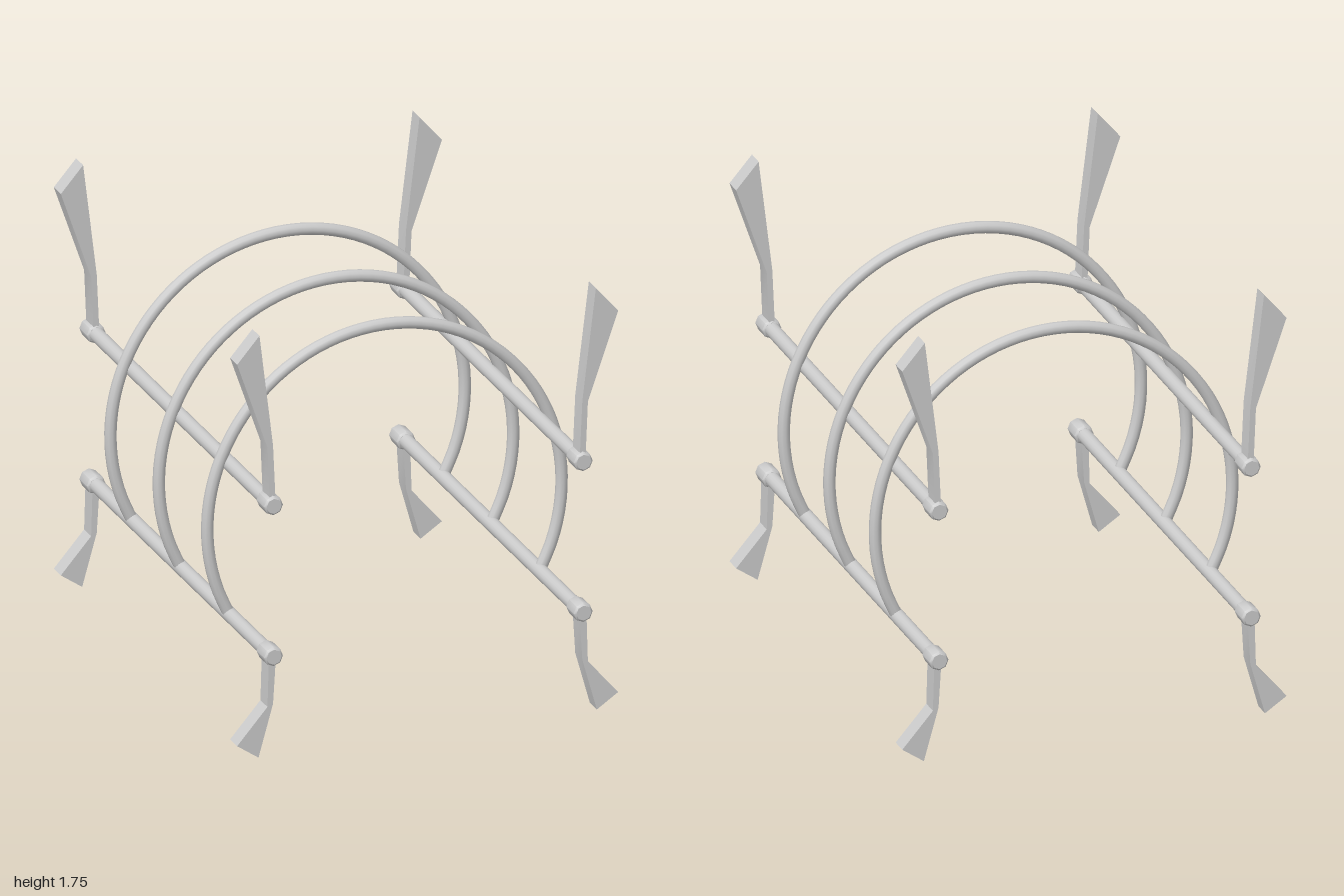
import * as THREE from 'three';
import { toCreasedNormals } from 'three/addons/utils/BufferGeometryUtils.js';

const RAIL_X = 0.638;
const material = new THREE.MeshStandardMaterial({ color: 0xcccccc });
const twoSided = new THREE.MeshStandardMaterial({ color: 0xcccccc, side: THREE.DoubleSide });

function add(parent, name, geometry, mat = material) {
  const mesh = new THREE.Mesh(geometry, mat);
  mesh.name = name;
  parent.add(mesh);
  return mesh;
}

// Flat bent arm: side outline extruded across z, smooth along its broad faces
function armGeometry(outline) {
  const shape = new THREE.Shape(outline.map(([x, y]) => new THREE.Vector2(x, y)));
  const geometry = new THREE.ExtrudeGeometry(shape, { depth: 0.076, bevelEnabled: false });
  geometry.translate(0, 0, -0.038);
  return toCreasedNormals(geometry, 0.6);
}

// Eight-sided end knob with chamfered rims, lying along z
function knobGeometry() {
  const profile = [[0, -0.048], [0.031, -0.048], [0.039, -0.04], [0.039, 0.04], [0.031, 0.048], [0, 0.048]]
    .map(([r, y]) => new THREE.Vector2(r, y));
  return toCreasedNormals(new THREE.LatheGeometry(profile, 8).rotateX(Math.PI / 2), 0.8);
}

// Elliptical hoop, open at the bottom where it meets the lower rails
function hoopGeometry() {
  const start = -0.485, end = Math.PI + 0.485;
  const points = [];
  for (let i = 0; i <= 32; i++) {
    const a = start + (end - start) * i / 32;
    points.push(new THREE.Vector3(0.73 * Math.cos(a), 0.775 + 0.748 * Math.sin(a), 0));
  }
  return new THREE.TubeGeometry(new THREE.CatmullRomCurve3(points), 64, 0.024, 10);
}

export function createModel() {
  const model = new THREE.Group();
  model.name = 'hoopFrame';

  const rail = new THREE.CylinderGeometry(0.029, 0.029, 1.86, 16).rotateX(Math.PI / 2);
  const knob = knobGeometry();
  const levels = [
    {
      name: 'upper', y: 1.038,
      arm: armGeometry([[0.626, 1.04], [0.65, 1.04], [0.66, 1.28], [0.785, 1.64], [0.693, 1.747], [0.637, 1.285]]),
    },
    {
      name: 'lower', y: 0.413,
      arm: armGeometry([[0.625, 0.41], [0.637, 0.215], [0.697, 0], [0.785, 0.06], [0.66, 0.205], [0.654, 0.41]]),
    },
  ];

  // Rails, each with a knob and a flared arm at both ends
  for (const { name, y, arm } of levels) {
    for (const [side, sx] of [['Left', 1], ['Right', -1]]) {
      add(model, `${name}${side}Rail`, rail).position.set(sx * RAIL_X, y, 0);
      for (const [end, sz] of [['Front', 1], ['Back', -1]]) {
        add(model, `${name}${side}${end}Knob`, knob).position.set(sx * RAIL_X, y, sz * 0.952);
        const mesh = add(model, `${name}${side}${end}Arm`, arm);
        mesh.position.z = sz * 0.947;
        if (sx < 0) mesh.rotation.y = Math.PI;
      }
    }
  }

  // Three hoops bridging the rails
  const hoop = hoopGeometry();
  [['front', 0.52], ['middle', 0], ['back', -0.52]].forEach(([name, z]) => {
    add(model, `${name}Hoop`, hoop, twoSided).position.z = z;
  });

  return model;
}
